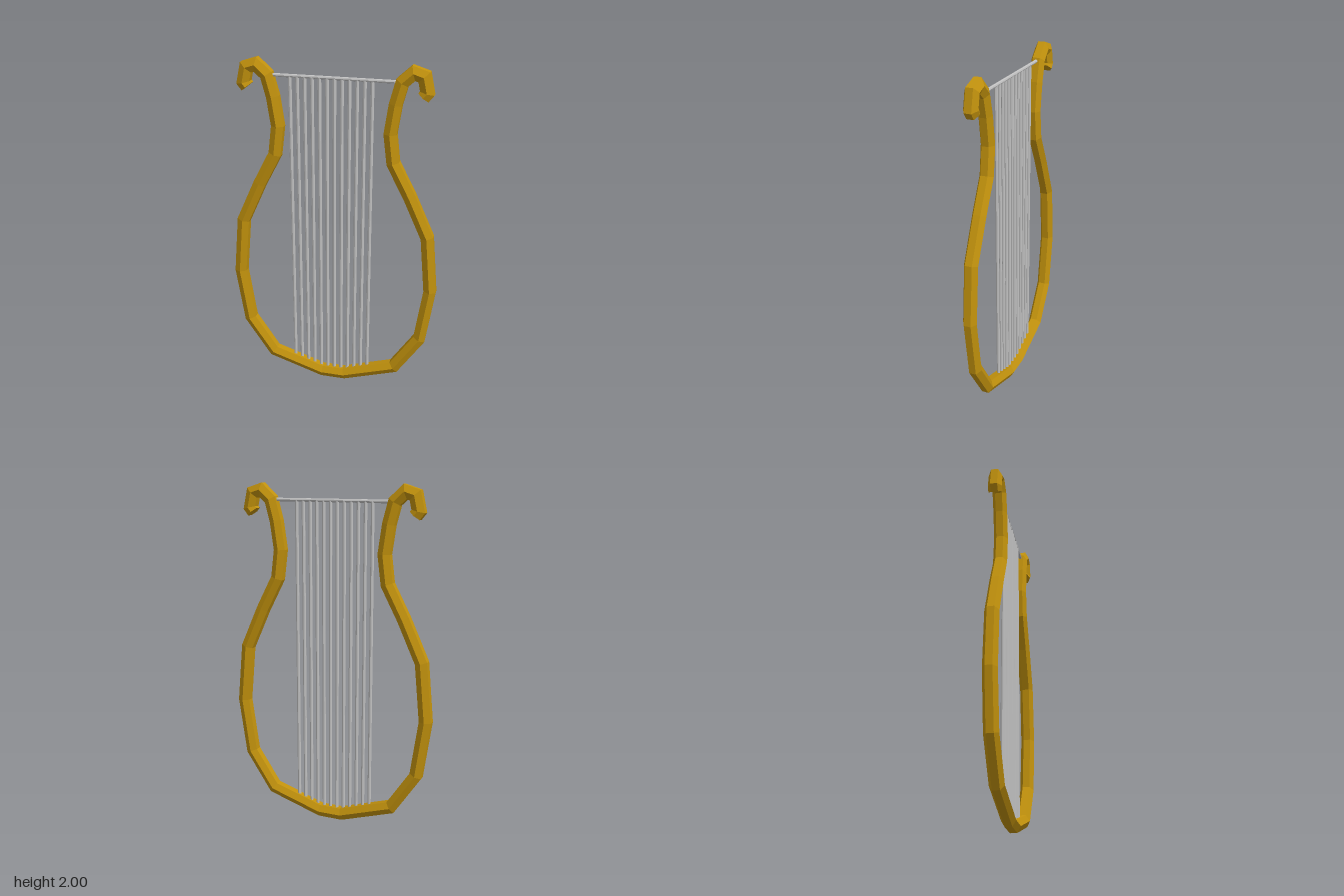
import * as THREE from 'three';

const gold = new THREE.MeshStandardMaterial({ name: 'gold', color: 0xc2920d, flatShading: true });
const silver = new THREE.MeshStandardMaterial({ name: 'silver', color: 0xc0c0c0, flatShading: true });

// Sweep a hexagon along a planar path, mitring every corner and capping both ends
function sweepHexagon(path, radius) {
  const sides = 6, pos = [], idx = [];
  const dir = (a, b) => b.clone().sub(a).normalize();
  path.forEach((p, i) => {
    const before = dir(path[Math.max(i - 1, 0)], path[Math.max(i, 1)]);
    const after = i < path.length - 1 ? dir(p, path[i + 1]) : before;
    const t = before.clone().add(after).normalize();
    const mitre = 1 / t.dot(after);
    for (let k = 0; k < sides; k++) {
      const a = Math.PI / 2 + (k / sides) * Math.PI * 2;
      const w = Math.cos(a) * radius * mitre;
      pos.push(p.x - t.y * w, p.y + t.x * w, Math.sin(a) * radius);
    }
  });
  for (let i = 0; i < path.length - 1; i++) {
    for (let k = 0; k < sides; k++) {
      const a = i * sides + k, b = i * sides + (k + 1) % sides;
      idx.push(a, b, a + sides, b, b + sides, a + sides);
    }
  }
  const last = (path.length - 1) * sides;
  for (let k = 1; k < sides - 1; k++) {
    idx.push(0, k + 1, k, last, last + k, last + k + 1);
  }
  const geo = new THREE.BufferGeometry();
  geo.setAttribute('position', new THREE.Float32BufferAttribute(pos, 3));
  geo.setIndex(idx);
  const flat = geo.toNonIndexed();
  flat.computeVertexNormals();
  return flat;
}

export function createModel() {
  const model = new THREE.Group();
  model.name = 'lyre';

  // Curved frame: one half from the curled tip to the base, then mirrored
  const half = [
    [0.492, 1.838], [0.511, 1.862], [0.492, 1.947], [0.436, 1.965], [0.376, 1.91],
    [0.344, 1.79], [0.32, 1.624], [0.341, 1.458], [0.44, 1.27], [0.55, 1.03],
    [0.582, 0.69], [0.534, 0.36], [0.384, 0.137], [0.07, 0.037],
  ].map(([x, y]) => new THREE.Vector2(x, y));
  const mirrored = half.map((p) => new THREE.Vector2(-p.x, p.y)).reverse();
  const frame = new THREE.Mesh(sweepHexagon([...half, ...mirrored], 0.041), gold);
  frame.name = 'frame';
  model.add(frame);

  // Crossbar between the arms
  const bar = new THREE.Mesh(new THREE.CylinderGeometry(0.01, 0.01, 0.72, 8), silver);
  bar.name = 'crossbar';
  bar.rotation.z = Math.PI / 2;
  bar.position.y = 1.91;
  model.add(bar);

  // Strings, running from the crossbar into the sloping base
  const strings = new THREE.Group();
  strings.name = 'strings';
  for (let i = 0; i < 12; i++) {
    const x = -0.246 + i * 0.0419;
    const bottom = 0.045 + Math.max(0, Math.abs(x) - 0.07) * 0.32;
    const top = 1.908;
    const string = new THREE.Mesh(new THREE.CylinderGeometry(0.0105, 0.0105, top - bottom, 8), silver);
    string.name = 'string';
    string.position.set(x, (top + bottom) / 2, 0);
    strings.add(string);
  }
  model.add(strings);

  return model;
}
